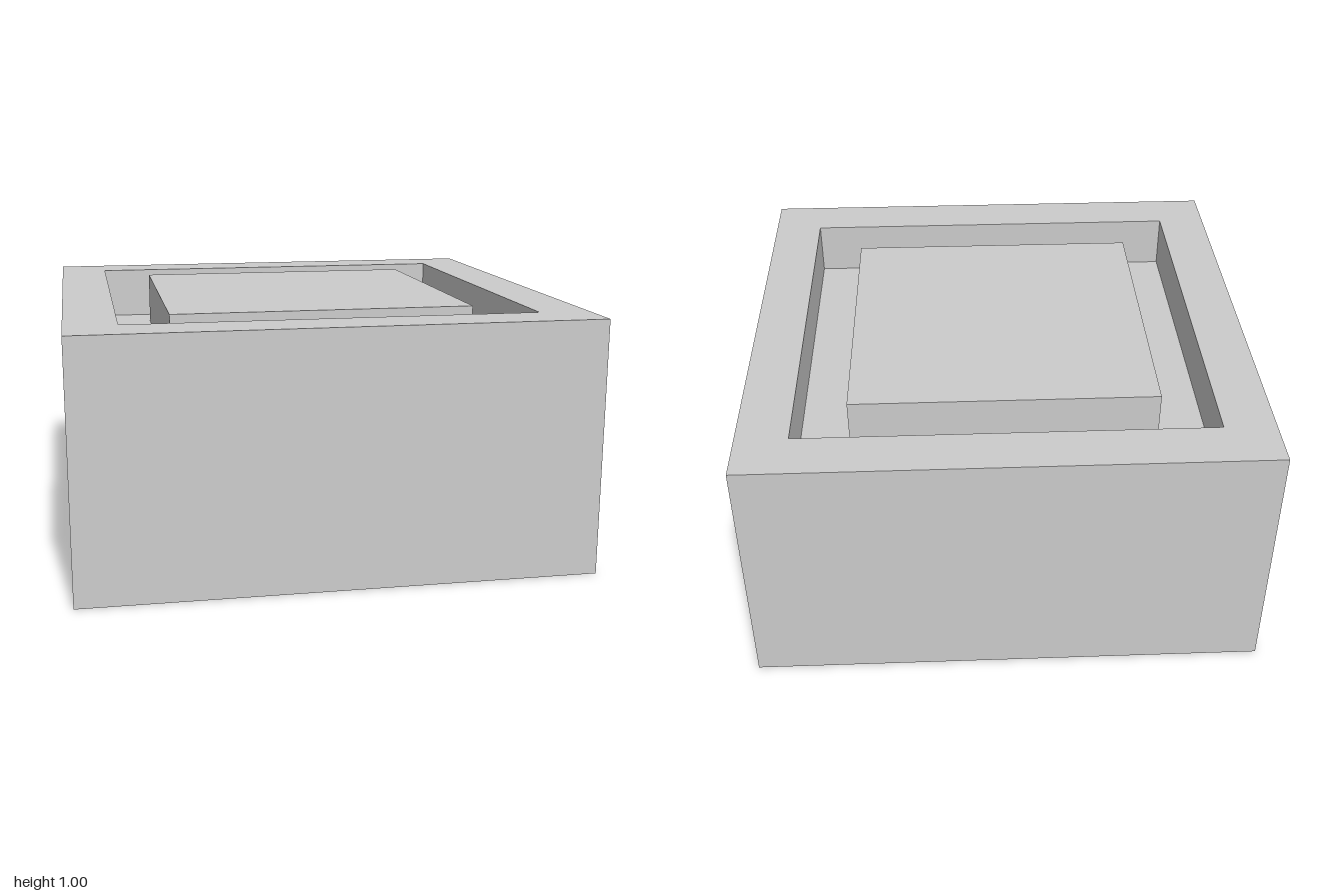
import * as THREE from 'three';

const FLOOR = 0.78; // height of the trench floor

// Square solid of revolution: profile of [half width, height], traced bottom to top
function squareLathe(name, profile) {
  const points = profile.map(([half, y]) => new THREE.Vector2(half * Math.SQRT2, y));
  const geometry = new THREE.LatheGeometry(points, 4, Math.PI / 4);
  const material = new THREE.MeshStandardMaterial({ color: 0xcccccc, flatShading: true });
  const mesh = new THREE.Mesh(geometry, material);
  mesh.name = name;
  return mesh;
}

export function createModel() {
  const group = new THREE.Group();
  group.name = 'trenchedBlock';

  // Underside, outer walls, rim and the square trench
  group.add(squareLathe('casing', [[0, 0], [1, 0], [1, 1], [0.8, 1], [0.8, FLOOR], [0.6, FLOOR]]));

  // Raised centre, level with the rim
  group.add(squareLathe('centreBlock', [[0.6, FLOOR], [0.6, 1], [0, 1]]));

  return group;
}
